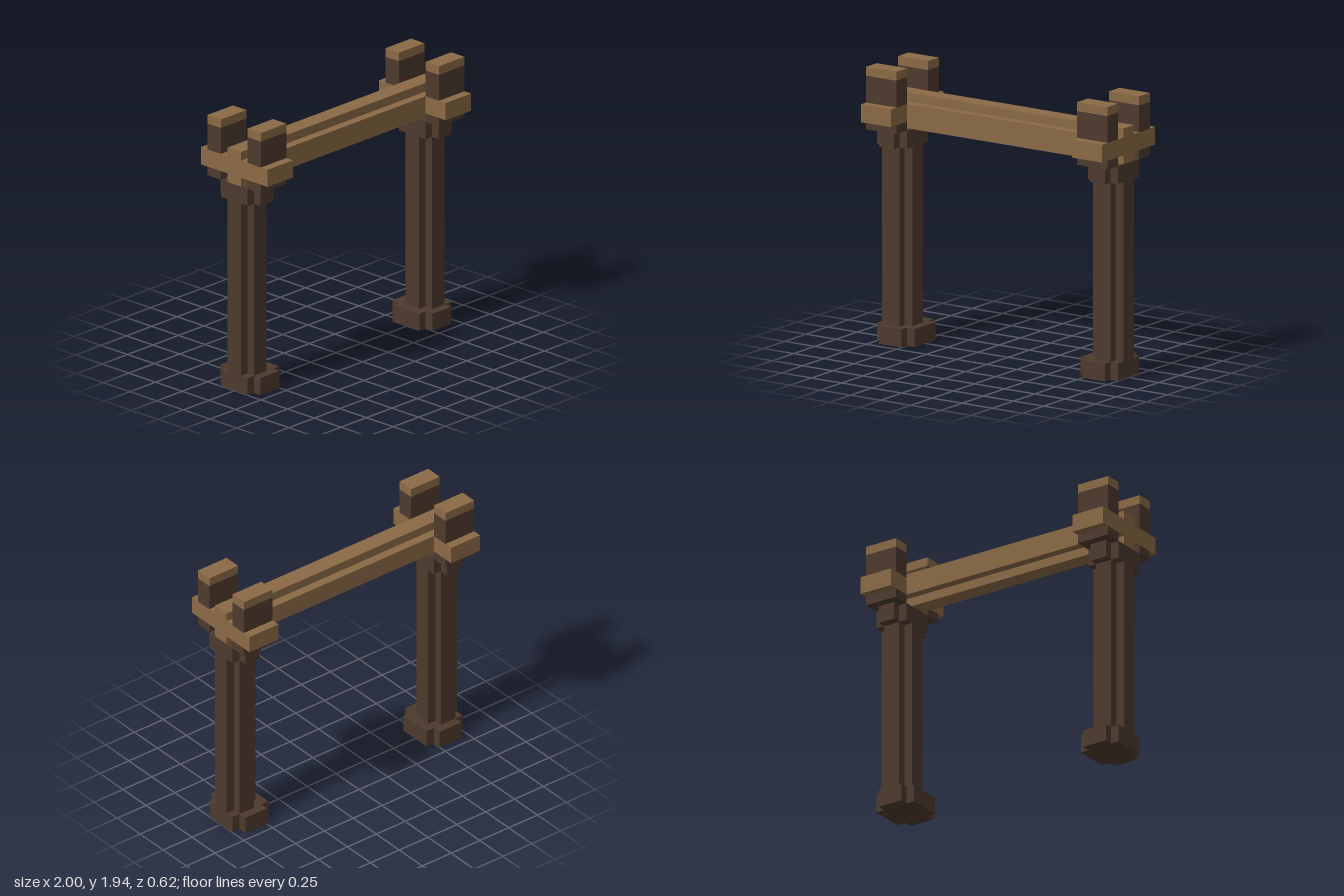
import * as THREE from 'three';

const darkWood = new THREE.MeshStandardMaterial({ color: 0x4e3a2e });
darkWood.name = 'dark wood';
const lightWood = new THREE.MeshStandardMaterial({ color: 0x8b6a46 });
lightWood.name = 'light wood';

const U = 1 / 16; // all sizes sit on this grid

// Plus-shaped outline: one bar a wide and b high, crossed by one c wide and d high (a > c, d > b)
function plusPrism(a, b, c, d, depth) {
  const quarter = [[a, b], [c, b], [c, d]].map(([x, y]) => [x * U / 2, y * U / 2]);
  const mirrored = [...quarter].reverse();
  const points = [
    ...quarter,
    ...mirrored.map(([x, y]) => [-x, y]),
    ...quarter.map(([x, y]) => [-x, -y]),
    ...mirrored.map(([x, y]) => [x, -y]),
  ].map(([x, y]) => new THREE.Vector2(x, y));
  return new THREE.ExtrudeGeometry(new THREE.Shape(points), { depth: depth * U, bevelEnabled: false });
}

function addMesh(parent, name, geometry, material) {
  const mesh = new THREE.Mesh(geometry, material);
  mesh.name = name;
  parent.add(mesh);
  return mesh;
}

// Upright plus-shaped block between two heights
function addUpright(parent, name, x, y0, y1, plus) {
  const geometry = plusPrism(...plus, y1 - y0).rotateX(-Math.PI / 2).translate(x * U, y0 * U, 0);
  return addMesh(parent, name, geometry, darkWood);
}

// Box given by its limits on the grid
function addBox(parent, name, material, [x0, x1], [y0, y1], [z0, z1]) {
  const geometry = new THREE.BoxGeometry((x1 - x0) * U, (y1 - y0) * U, (z1 - z0) * U);
  geometry.translate((x0 + x1) * U / 2, (y0 + y1) * U / 2, (z0 + z1) * U / 2);
  return addMesh(parent, name, geometry, material);
}

export function createModel() {
  const model = new THREE.Group();
  model.name = 'woodenFrame';

  // Long beam between the posts
  const beam = plusPrism(4, 2, 2, 4, 32).translate(0, 0, -1).rotateY(Math.PI / 2).translate(0, 26 * U, 0);
  addMesh(model, 'beam', beam, lightWood);

  for (const side of [1, -1]) {
    const end = new THREE.Group();
    end.name = side > 0 ? 'leftSupport' : 'rightSupport';
    model.add(end);

    // Post with a spreading foot and a bracket on top
    addUpright(end, 'foot', side * 13.5, 0, 2, [5, 4, 3, 6]);
    addUpright(end, 'post', side * 14, 2, 22, [4, 2, 2, 4]);
    addUpright(end, 'bracket', side * 14, 22, 24, [4, 4, 2, 6]);

    // Crossbar arms and the prongs standing on them, front and back
    const xs = side > 0 ? [12, 16] : [-16, -12];
    for (const face of [1, -1]) {
      const span = (a, b) => (face > 0 ? [a, b] : [-b, -a]);
      addBox(end, 'crossbarArm', lightWood, xs, [25, 27], span(1, 5));
      addBox(end, 'prongBase', darkWood, xs, [24, 25], span(2, 4));
      addBox(end, 'prong', darkWood, xs, [27, 30], span(2, 4));
      addBox(end, 'prongCap', lightWood, xs, [30, 31], span(2, 4));
    }
  }
  return model;
}
